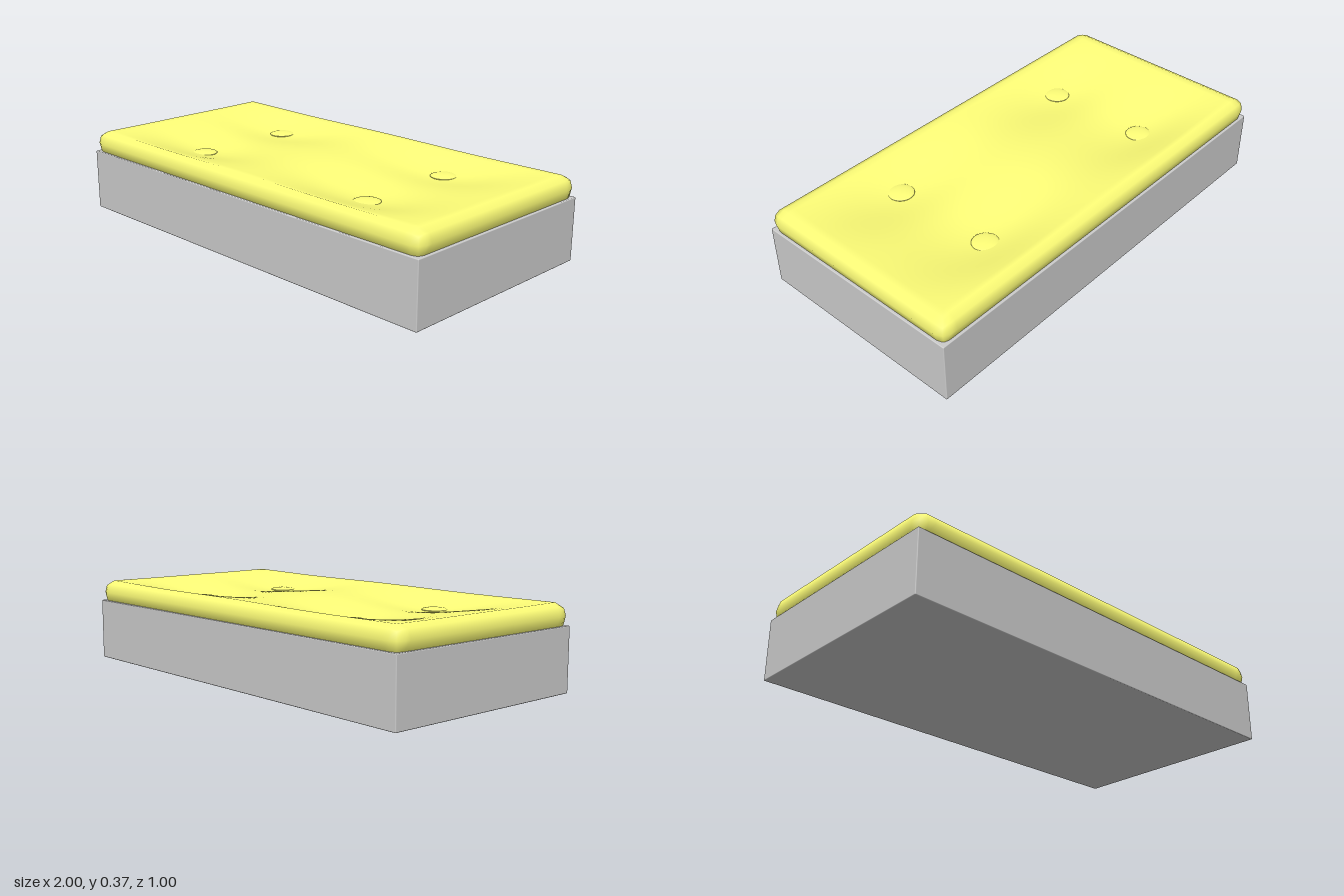
import * as THREE from 'three';
import { mergeVertices } from 'three/addons/utils/BufferGeometryUtils.js';
import { RoundedBoxGeometry } from 'three/addons/geometries/RoundedBoxGeometry.js';

const BUTTONS = [[-0.5, -0.245], [0.51, -0.245], [-0.5, 0.24], [0.515, 0.24]];
const RIM = 0.32; // height of the widest line of the cushion
const EDGE = 0.045, TOP = 0.055, BOTTOM = 0.064; // radii of the soft edge

// How far the cushion is pulled down at (x, z) by the buttons, fading out at the rim
function dent(x, z) {
  const pull = BUTTONS.reduce((sum, [bx, bz]) =>
    sum + Math.exp(-(((x - bx) / 0.36) ** 2) - ((z - bz) / 0.24) ** 2), 0);
  const fade = Math.max(0, 1 - (x / 0.97) ** 6) * Math.max(0, 1 - (z / 0.47) ** 4);
  return 0.062 * pull * fade;
}

// Spread grid lines so that the outermost step on each side is the soft edge
function spread(t, half, steps) {
  const i = Math.round((t + 0.5) * steps);
  if (i === 0) return -half;
  if (i === steps) return half;
  return (half - EDGE) * (2 * (i - 1) / (steps - 2) - 1);
}

function cushionGeometry() {
  const nx = 60, nz = 36;
  let geo = new THREE.BoxGeometry(1, 1, 1, nx, 2, nz);
  const pos = geo.attributes.position;
  const q = new THREE.Vector3(), d = new THREE.Vector3();
  for (let i = 0; i < pos.count; i++) {
    const x = spread(pos.getX(i), 1, nx);
    const z = spread(pos.getZ(i), 0.5, nz);
    q.set(THREE.MathUtils.clamp(x, -1 + EDGE, 1 - EDGE), RIM,
      THREE.MathUtils.clamp(z, -0.5 + EDGE, 0.5 - EDGE));
    // push out from the flat core to a bevelled border
    d.set((x - q.x) / EDGE, pos.getY(i) * 2, (z - q.z) / EDGE).normalize();
    const px = q.x + d.x * EDGE, pz = q.z + d.z * EDGE;
    const py = RIM + d.y * (d.y > 0 ? TOP : BOTTOM) - Math.max(d.y, 0) * dent(px, pz);
    pos.setXYZ(i, px, py, pz);
  }
  geo.deleteAttribute('normal');
  geo.deleteAttribute('uv');
  geo = mergeVertices(geo, 1e-5);
  geo.computeVertexNormals();
  return geo;
}

export function createModel() {
  const group = new THREE.Group();
  const grey = new THREE.MeshStandardMaterial({ color: 0xcccccc });
  const yellow = new THREE.MeshStandardMaterial({ color: 0xffff78 });
  const add = (name, geo, mat, x, y, z) => {
    const mesh = new THREE.Mesh(geo, mat);
    mesh.name = name;
    mesh.position.set(x, y, z);
    group.add(mesh);
  };

  // Solid base block; its top stays below the deepest dimple
  add('base', new RoundedBoxGeometry(2, 0.28, 1, 2, 0.004), grey, 0, 0.14, 0);

  // Padded seat with dimples
  add('cushion', cushionGeometry(), yellow, 0, 0, 0);

  // Flat domed buttons in the dimples
  const buttonGeo = new THREE.SphereGeometry(0.058, 32, 16).scale(1, 0.16, 1);
  BUTTONS.forEach(([x, z]) =>
    add('button', buttonGeo, yellow, x, RIM + TOP - dent(x, z) + 0.002, z));

  return group;
}
